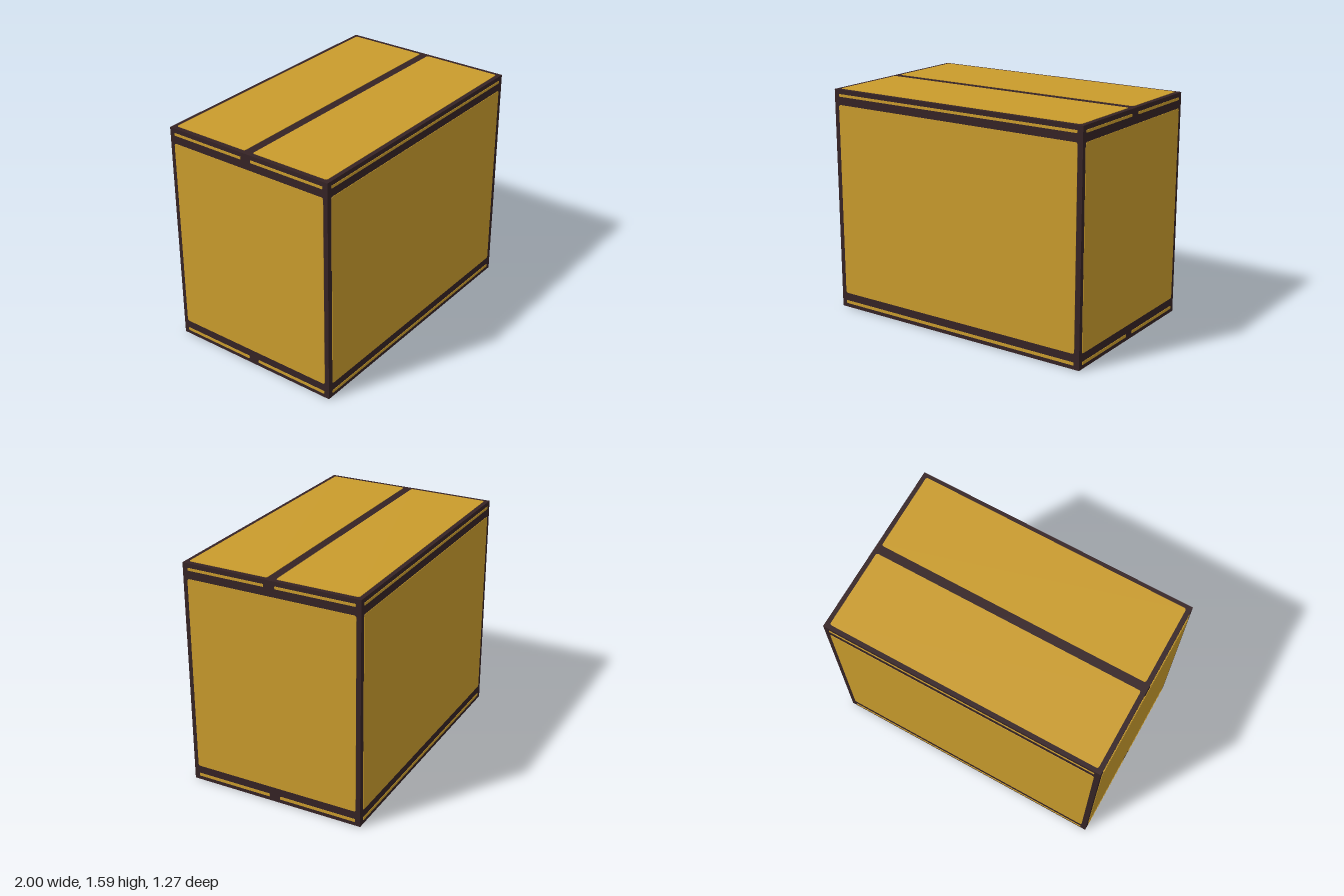
import * as THREE from 'three';

const W = 2, H = 1.59, D = 1.27, PLATE = 0.003;

export function createModel() {
  const crate = new THREE.Group();
  crate.name = 'box';
  const dark = new THREE.MeshStandardMaterial({ name: 'dark brown', color: 0x352325 });
  const ochre = new THREE.MeshStandardMaterial({ name: 'cardboard ochre', color: 0xc99b2c });

  // Dark core that shows as the edges and the seams
  const core = new THREE.Mesh(new THREE.BoxGeometry(W - 2 * PLATE, H, D - 2 * PLATE), dark);
  core.name = 'core';
  core.scale.y = (H - 2 * PLATE) / H;
  core.position.y = H / 2;
  crate.add(core);

  // Thin plate with rounded corners, lying in xy and facing +z
  function plate(name, x0, x1, y0, y1, r) {
    const s = new THREE.Shape();
    s.moveTo(x0 + r, y0);
    s.lineTo(x1 - r, y0).quadraticCurveTo(x1, y0, x1, y0 + r);
    s.lineTo(x1, y1 - r).quadraticCurveTo(x1, y1, x1 - r, y1);
    s.lineTo(x0 + r, y1).quadraticCurveTo(x0, y1, x0, y1 - r);
    s.lineTo(x0, y0 + r).quadraticCurveTo(x0, y0, x0 + r, y0);
    const geometry = new THREE.ExtrudeGeometry(s, { depth: PLATE, bevelEnabled: false, curveSegments: 3 });
    const mesh = new THREE.Mesh(geometry, ochre);
    mesh.name = name;
    return mesh;
  }

  // Four walls, each with a large panel and the edges of the flaps
  const walls = [['front', 0, D], ['left', 1, W], ['back', 2, D], ['right', 3, W]];
  for (const [side, turn, depth] of walls) {
    const wall = new THREE.Group();
    wall.name = side + 'Wall';
    const long = turn % 2 === 0;
    const half = long ? 0.96 : 0.6;
    const spans = long ? [[-0.957, 0.957]] : [[-0.595, -0.04], [0.04, 0.595]];
    wall.add(plate('panel', -half, half, 0.11, 1.48, 0.015));
    for (const [a, b] of spans) {
      wall.add(plate('bottomFlapEdge', a, b, 0.031, 0.052, 0.003));
      wall.add(plate('topFlapEdge', a, b, H - 0.052, H - 0.034, 0.003));
    }
    for (const part of wall.children) part.position.z = depth / 2 - PLATE;
    wall.rotation.y = turn * Math.PI / 2;
    crate.add(wall);
  }

  // Two flaps on the top and two on the bottom
  for (const top of [true, false]) {
    const lid = new THREE.Group();
    lid.name = top ? 'topFlaps' : 'bottomFlaps';
    lid.add(plate('flap', -0.965, 0.965, 0.032, 0.603, 0.015));
    lid.add(plate('flap', -0.965, 0.965, -0.603, -0.032, 0.015));
    lid.rotation.x = top ? -Math.PI / 2 : Math.PI / 2;
    lid.position.y = top ? H - PLATE : PLATE;
    crate.add(lid);
  }
  return crate;
}
